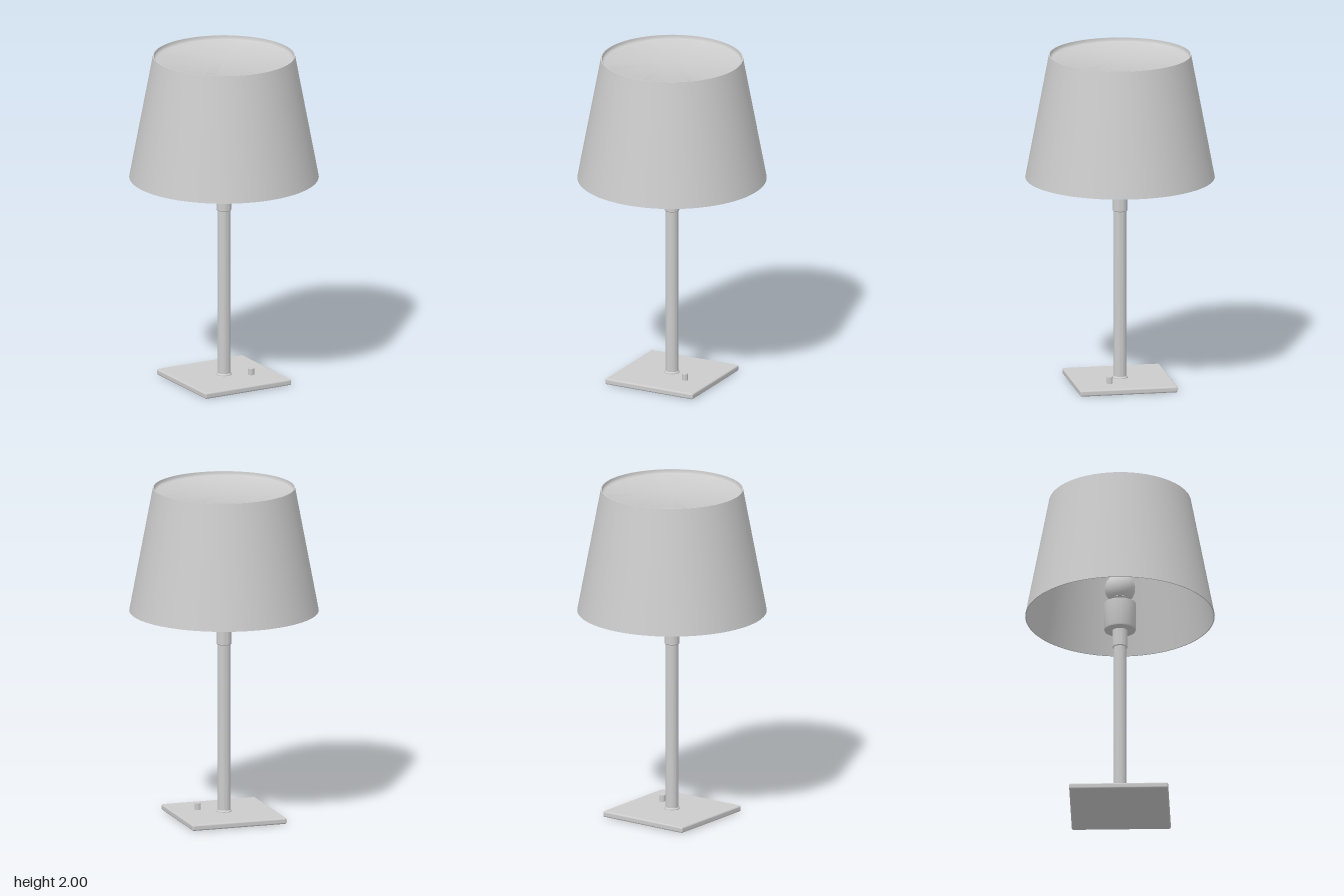
import * as THREE from 'three';
import { RoundedBoxGeometry } from 'three/addons/geometries/RoundedBoxGeometry.js';
import { toCreasedNormals } from 'three/addons/utils/BufferGeometryUtils.js';

const grey = new THREE.MeshStandardMaterial({ color: 0xcccccc });
const thin = new THREE.MeshStandardMaterial({ color: 0xcccccc, side: THREE.DoubleSide });

// Turned part from [radius, height] pairs, listed bottom to top along the outside
function turned(name, profile, material = grey, segments = 64) {
  const points = profile.map(([r, y]) => new THREE.Vector2(r, y));
  const geometry = toCreasedNormals(new THREE.LatheGeometry(points, segments), 0.6);
  const mesh = new THREE.Mesh(geometry, material);
  mesh.name = name;
  return mesh;
}

export function createModel() {
  const lamp = new THREE.Group();
  lamp.name = 'tableLamp';

  // Square base plate with softened edges
  const base = new THREE.Mesh(new RoundedBoxGeometry(0.586, 0.036, 0.586, 3, 0.01), grey);
  base.name = 'base';
  base.position.y = 0.018;
  lamp.add(base);

  // Push switch on the base, near the front left corner
  const button = turned('switchButton', [
    [0, 0.03], [0.018, 0.03], [0.018, 0.075], [0.015, 0.079], [0, 0.079],
  ], grey, 32);
  button.position.set(0.135, 0, 0.088);
  lamp.add(button);

  // Pole with a small foot collar, and the sleeve at its top
  lamp.add(turned('pole', [
    [0, 0.03], [0.046, 0.03], [0.046, 0.04], [0.039, 0.047], [0.039, 1.06], [0, 1.06],
  ]));
  lamp.add(turned('sleeve', [
    [0, 1.05], [0.042, 1.05], [0.045, 1.054], [0.045, 1.17], [0, 1.17],
  ]));

  // Lamp holder cup
  lamp.add(turned('socket', [
    [0, 1.16], [0.084, 1.16], [0.091, 1.163], [0.095, 1.172],
    [0.095, 1.335], [0.082, 1.335], [0.082, 1.3], [0, 1.3],
  ]));

  // Ribbed screw cap of the bulb
  const rings = [[0, 1.29]];
  for (let i = 0; i <= 24; i++) {
    rings.push([0.06 + 0.005 * Math.cos(i * Math.PI / 2), 1.29 + i * 0.0035]);
  }
  lamp.add(turned('bulbCap', [...rings, [0, 1.374]]));

  // Round bulb
  const bulb = new THREE.Mesh(new THREE.SphereGeometry(0.09, 48, 32), grey);
  bulb.name = 'bulb';
  bulb.position.y = 1.434;
  lamp.add(bulb);

  // Tapered shade with a recessed, filleted top panel
  lamp.add(turned('shade', [
    [0, 1.965], [0.42, 1.965], [0.554, 1.255], [0.56, 1.255], [0.42, 2],
    [0.415, 2], [0.414, 1.986], [0.409, 1.978], [0.4, 1.974], [0, 1.974],
  ], thin, 96));

  return lamp;
}
